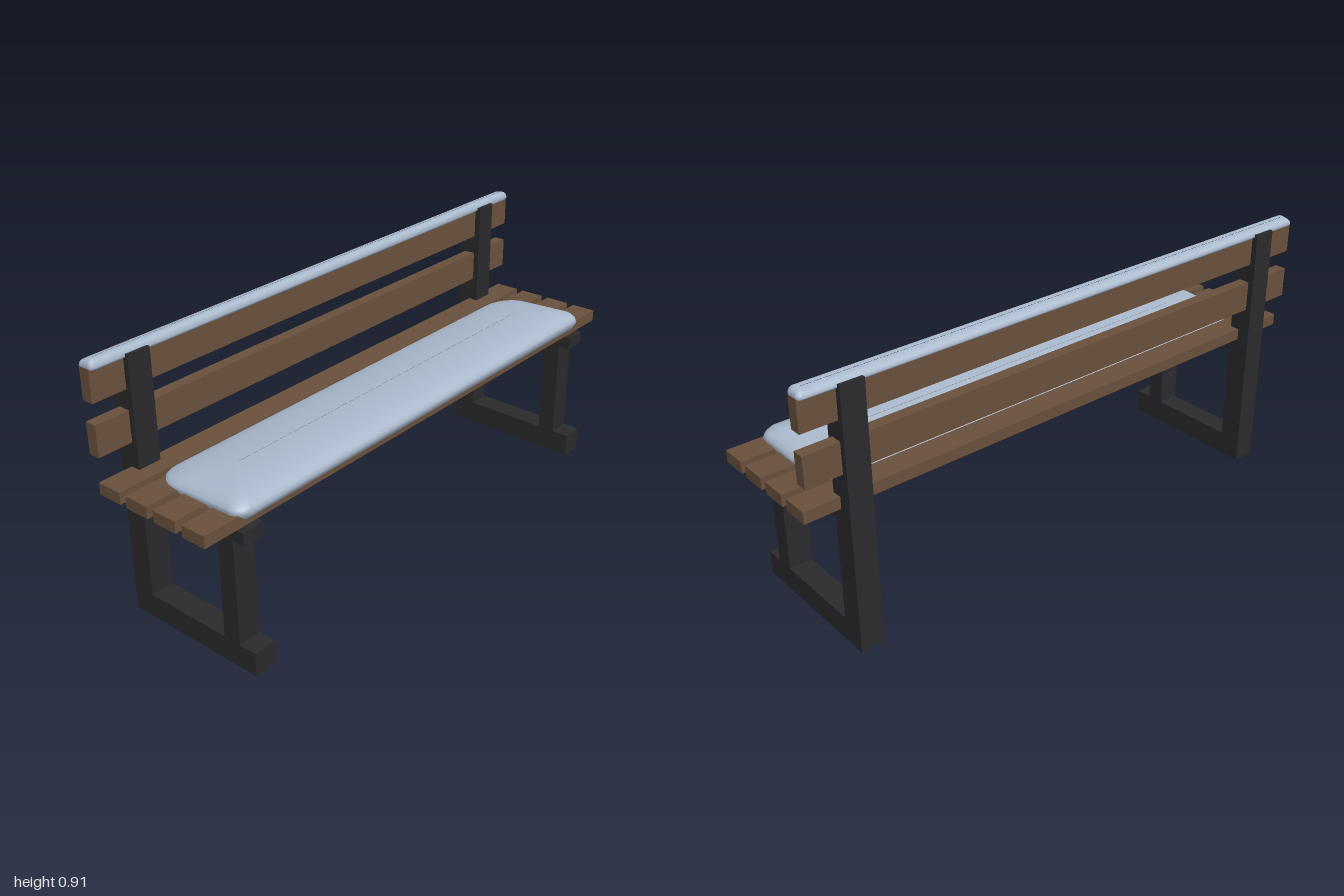
import * as THREE from 'three';

const iron = new THREE.MeshStandardMaterial({ color: 0x2a2a2c });
const wood = new THREE.MeshStandardMaterial({ color: 0x69503d });
const pale = new THREE.MeshStandardMaterial({ color: 0xa9b8cc });

function add(parent, name, geometry, material) {
  const mesh = new THREE.Mesh(geometry, material);
  mesh.name = name;
  parent.add(mesh);
  return mesh;
}

// Full-width plank spanning z0..z1 and y0..y1
function plank(parent, name, z0, z1, y0, y1) {
  const m = add(parent, name, new THREE.BoxGeometry(2, y1 - y0, z1 - z0), wood);
  m.position.set(0, (y0 + y1) / 2, (z0 + z1) / 2);
}

// Side frame: outline in the z-y plane with a window, extruded across x
function frameGeometry(width) {
  const shape = new THREE.Shape([
    [-0.26, 0], [0.263, 0], [0.263, 0.083], [0.2, 0.083], [0.2, 0.443],
    [0.243, 0.443], [0.243, 0.485], [-0.18, 0.485], [-0.18, 0.895], [-0.26, 0.895],
  ].map(p => new THREE.Vector2(...p)));
  shape.holes.push(new THREE.Path([
    [-0.18, 0.083], [-0.18, 0.443], [0.137, 0.443], [0.137, 0.083],
  ].map(p => new THREE.Vector2(...p))));
  const g = new THREE.ExtrudeGeometry(shape, { depth: width, bevelEnabled: false });
  g.translate(0, 0, -width / 2);
  g.rotateY(-Math.PI / 2);
  return g;
}

// Soft pad: rounded-rectangle rings, each [inset, level], stacked from base to crown
function padGeometry({ halfX, z0, z1, frontR, backR, rings, height }) {
  const steps = 7, n = steps * 4, pos = [], index = [];
  const corners = [[1, 1, frontR], [-1, 1, frontR], [-1, -1, backR], [1, -1, backR]];
  const zc = (z0 + z1) / 2, halfZ = (z1 - z0) / 2;
  for (const [inset, level] of rings) {
    const hx = halfX - inset, hz = Math.max(halfZ - inset, 0.0005);
    corners.forEach(([sx, sz, radius], c) => {
      const r = Math.min(Math.max(radius - inset * 0.5, 0.01), hz);
      for (let i = 0; i < steps; i++) {
        const a = (c + i / (steps - 1)) * Math.PI / 2;
        const x = sx * (hx - r) + r * Math.cos(a);
        const z = zc + sz * (hz - r) + r * Math.sin(a);
        pos.push(x, height(level, z), z);
      }
    });
  }
  for (let k = 0; k < rings.length - 1; k++) {
    for (let i = 0; i < n; i++) {
      const a = k * n + i, b = k * n + (i + 1) % n;
      index.push(a, a + n, b, b, a + n, b + n);
    }
  }
  // Underside
  const centre = pos.length / 3;
  pos.push(0, height(0, zc), zc);
  for (let i = 0; i < n; i++) index.push(centre, i, (i + 1) % n);
  const g = new THREE.BufferGeometry();
  g.setAttribute('position', new THREE.Float32BufferAttribute(pos, 3));
  g.setIndex(index);
  g.computeVertexNormals();
  return g;
}

export function createModel() {
  const bench = new THREE.Group();
  bench.name = 'bench';

  // Side frames
  for (const side of [-1, 1]) {
    add(bench, side > 0 ? 'leftFrame' : 'rightFrame', frameGeometry(0.08), iron).position.x = side * 0.84;
  }

  // Seat and back slats
  for (let i = 0; i < 4; i++) {
    const front = 0.221 - i * 0.1155;
    plank(bench, 'seatSlat', front - 0.089, front, 0.487, 0.527);
  }
  plank(bench, 'lowerBackSlat', -0.24, -0.2, 0.612, 0.716);
  plank(bench, 'upperBackSlat', -0.24, -0.2, 0.783, 0.887);

  // Seat pad, highest towards the front and thinning to the back
  add(bench, 'seatPad', padGeometry({
    halfX: 0.887, z0: -0.128, z1: 0.237, frontR: 0.05, backR: 0.1,
    rings: [[0.012, 0], [0, 0.36], [0.005, 0.56], [0.016, 0.75], [0.04, 0.9], [0.07, 0.96], [0.11, 1], [0.15, 1], [0.183, 1]],
    height: (t, z) => 0.507 + t * (0.063 - 0.03 * Math.pow(Math.max(0, 0.12 - z) / 0.24, 1.5)),
  }), pale);

  // Cap along the top of the backrest, sloping down to the rear
  add(bench, 'backrestCap', padGeometry({
    halfX: 1, z0: -0.25, z1: -0.19, frontR: 0.015, backR: 0.015,
    rings: [[0.003, 0], [0, 0.25], [0.002, 0.6], [0.007, 0.85], [0.015, 1], [0.023, 1], [0.03, 1]],
    height: (t, z) => 0.883 + t * (0.029 - 0.2 * Math.max(0, -0.21 - z)),
  }), pale);

  return bench;
}
